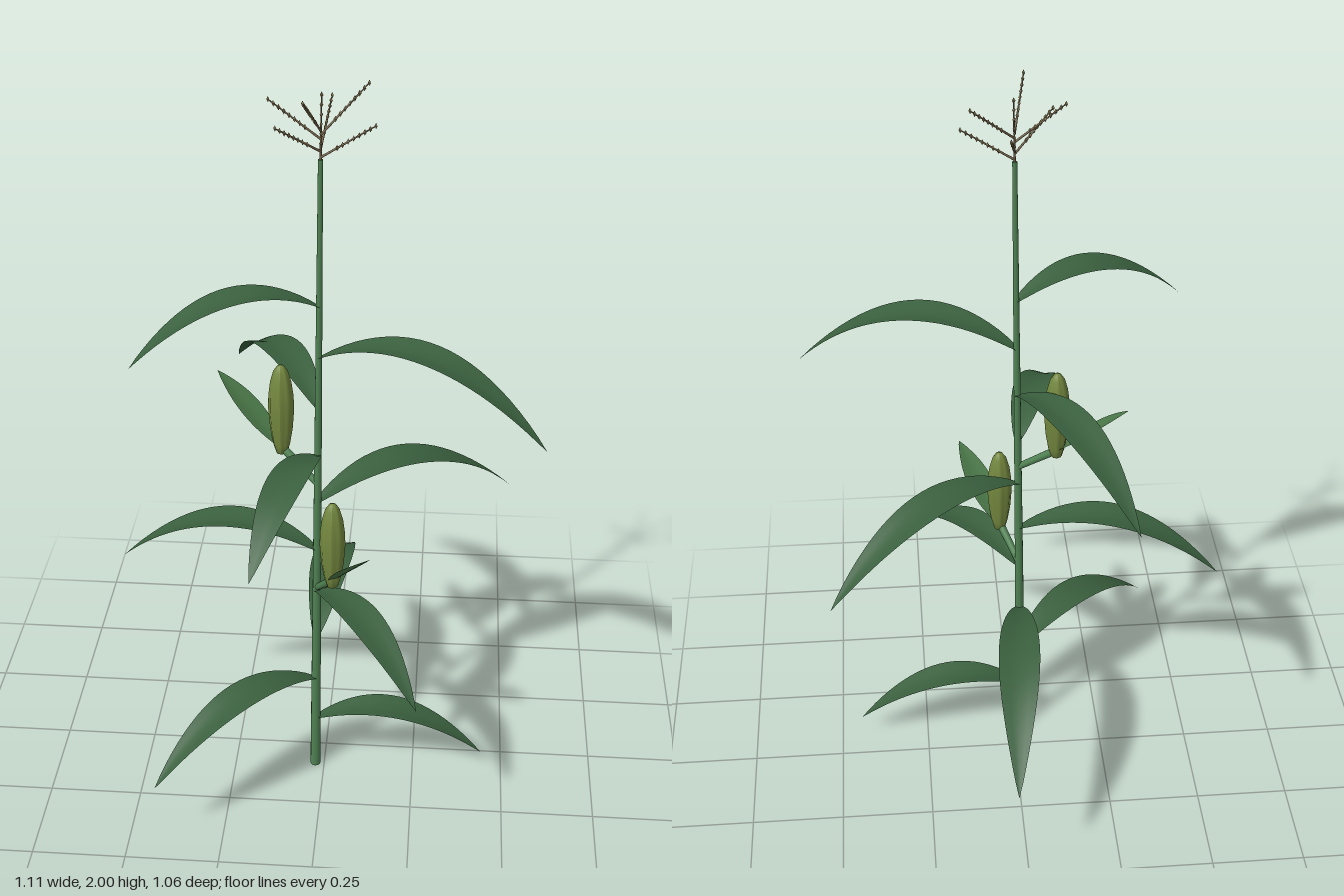
import * as THREE from 'three';

const mat = (name, color, side = THREE.FrontSide) => {
  const m = new THREE.MeshStandardMaterial({ color, side });
  m.name = name;
  return m;
};
const v = (x, y, z) => new THREE.Vector3(x, y, z);

// Stalk centre line, leaning slightly
const stalkAt = (y) => v(-0.025 + 0.0095 * y, y, 0.085);

export function createModel() {
  const group = new THREE.Group();
  const stalkGreen = mat('stalk green', 0x4f8152);
  const leafGreen = mat('leaf green', 0x3a603e, THREE.DoubleSide);
  const bractGreen = mat('bract green', 0x4c7a4a, THREE.DoubleSide);
  const huskGreen = mat('husk green', 0x74883f);
  const tasselBrown = mat('tassel brown', 0x6f5f45);
  const spikeletTan = mat('spikelet tan', 0x8f8058);

  const add = (name, geometry, material, parent = group) => {
    const mesh = new THREE.Mesh(geometry, material);
    mesh.name = name;
    parent.add(mesh);
    return mesh;
  };

  // Tapered round rod between two points
  const rod = (name, a, b, r0, r1, material, parent) => {
    const dir = b.clone().sub(a);
    const m = add(name, new THREE.CylinderGeometry(r1, r0, dir.length(), 12), material, parent);
    m.position.copy(a).add(b).multiplyScalar(0.5);
    m.quaternion.setFromUnitVectors(v(0, 1, 0), dir.normalize());
    return m;
  };

  // Pointed blade whose midrib rises as a*t - b*t^2, with a shallow V fold
  const blade = (name, base, tip, a, b, width, material) => {
    const flat = v(tip.x - base.x, 0, tip.z - base.z);
    const side = flat.clone().normalize().cross(v(0, 1, 0));
    const g = new THREE.PlaneGeometry(2, 1, 4, 22);
    const p = g.attributes.position;
    for (let i = 0; i < p.count; i++) {
      const t = p.getY(i) + 0.5;
      const shape = Math.pow(Math.max(0, Math.sin(Math.PI * Math.pow(t, 0.95))), 0.85);
      const s = p.getX(i) * (shape * width / 2 + 0.009 * (1 - t));
      const q = base.clone().addScaledVector(flat, t).addScaledVector(side, s);
      p.setXYZ(i, q.x, base.y + a * t - b * t * t + 0.2 * Math.abs(s), q.z);
    }
    g.computeVertexNormals();
    return add(name, g, material);
  };

  // Stalk
  rod('stalk', stalkAt(0), stalkAt(1.82), 0.014, 0.006, stalkGreen);

  // Arching leaves: base height, peak height, tip x, y, z
  const leaves = [
    [0.165, 0.208, 0.44, 0.065, 0.08], [0.305, 0.36, -0.42, 0.195, 0.445],
    [0.45, 0.512, 0.03, 0.325, -0.53], [0.6, 0.64, 0.26, 0.5, 0.45],
    [0.73, 0.788, -0.555, 0.62, -0.013], [0.88, 0.938, 0.49, 0.75, -0.25],
    [1.02, 1.065, -0.145, 0.925, 0.53], [1.16, 1.215, -0.275, 1.05, -0.395],
    [1.3, 1.367, 0.55, 1.175, 0.285], [1.44, 1.493, -0.455, 1.345, 0.26],
  ];
  leaves.forEach(([y, peak, tx, ty, tz], i) => {
    const base = stalkAt(y), tip = v(tx, ty, tz);
    const rise = peak - y, drop = y - ty;
    const a = 2 * rise + 2 * Math.sqrt(rise * rise + rise * drop);
    const length = Math.hypot(tx - base.x, tz - base.z);
    blade('leaf' + (i + 1), base, tip, a, a + drop, 0.05 + 0.083 * length, leafGreen);
  });

  // Ears: upright fluted husk, short shank and a bract leaf
  const huskProfile = [[0, 0], [0.014, 0.004], [0.021, 0.03], [0.028, 0.075], [0.032, 0.13],
    [0.031, 0.17], [0.026, 0.21], [0.018, 0.24], [0.009, 0.254], [0, 0.257]]
    .map(([x, y]) => new THREE.Vector2(x, y));
  const ear = (name, stalkY, bottom, tip) => {
    const g = new THREE.LatheGeometry(huskProfile, 40);
    const p = g.attributes.position;
    for (let i = 0; i < p.count; i++) {
      const x = p.getX(i), z = p.getZ(i);
      const k = 1 + 0.04 * Math.cos(8 * Math.atan2(z, x));
      p.setXYZ(i, x * k, p.getY(i), z * k);
    }
    g.computeVertexNormals();
    add(name + 'Husk', g, huskGreen).position.copy(bottom);
    const joint = bottom.clone().add(v(0, 0.02, 0));
    rod(name + 'Shank', stalkAt(stalkY), joint, 0.009, 0.011, stalkGreen);
    blade(name + 'Bract', joint, tip, tip.y - joint.y, 0, 0.068, bractGreen);
  };
  ear('lowerEar', 0.61, v(0.028, 0.67, 0.165), v(0.13, 0.865, 0.32));
  ear('upperEar', 0.935, v(-0.113, 0.995, 0.038), v(-0.285, 1.185, -0.047));

  // Tassel: central spike and side branches set with small spikelets
  const tassel = new THREE.Group();
  tassel.name = 'tassel';
  group.add(tassel);
  const spikelet = new THREE.OctahedronGeometry(0.0055);
  const branch = (name, a, b, count) => {
    rod(name, a, b, 0.003, 0.0015, tasselBrown, tassel);
    for (let i = 1; i <= count; i++) {
      const m = add('spikelet', spikelet, spikeletTan, tassel);
      m.position.lerpVectors(a, b, 0.2 + 0.8 * i / count);
      m.scale.set(0.8, 1.4, 0.8);
      m.rotation.y = i * 1.3;
    }
  };
  branch('tasselSpike', stalkAt(1.8), v(-0.005, 1.975, 0.083), 6);
  const tips = [[0.12, 1.905, 0.085, 1.825], [-0.105, 1.92, 0.16, 1.84], [0.01, 1.93, -0.045, 1.845],
    [-0.128, 1.962, 0.085, 1.87], [0.1, 1.983, 0.015, 1.88], [-0.038, 1.994, 0.2, 1.89]];
  tips.forEach(([x, y, z, from], i) =>
    branch('tasselBranch' + (i + 1), stalkAt(from), v(x, y, z), 8));

  return group;
}
